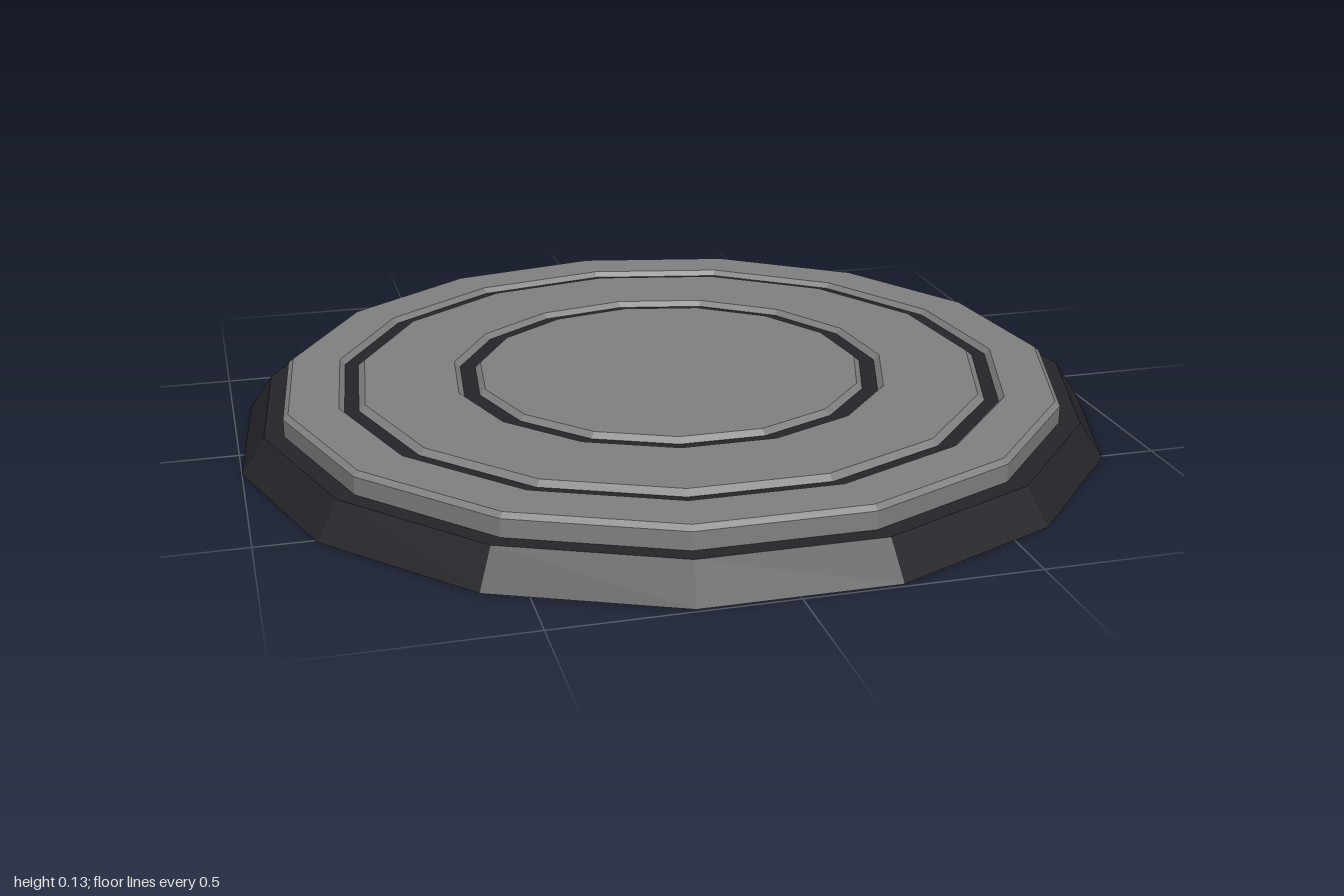
import * as THREE from 'three';

const SIDES = 15;
const grey = new THREE.MeshStandardMaterial({ color: 0x808080, flatShading: true });
const dark = new THREE.MeshStandardMaterial({ color: 0x25252a, flatShading: true });

// Faceted ring or disc turned from a [radius, height] profile, one corner towards the back
function turned(name, profile, material) {
  const points = profile.map(([r, y]) => new THREE.Vector2(r, y));
  const geometry = new THREE.LatheGeometry(points, SIDES);
  geometry.rotateY(Math.PI);
  const mesh = new THREE.Mesh(geometry, material);
  mesh.name = name;
  return mesh;
}

export function createModel() {
  const model = new THREE.Group();
  model.name = 'roundPlatform';

  // Sloping dark rim
  const rim = turned('baseRim', [[0.88, 0.002], [1.0055, 0.002], [0.952, 0.08], [0.88, 0.08]], dark);
  rim.position.z = 0.011;
  model.add(rim);

  // Raised grey plate, sitting slightly off the rim's centre
  const plate = new THREE.Group();
  plate.name = 'plate';
  plate.position.set(-0.004, 0, 0.02);
  model.add(plate);

  const top = 0.13, floor = 0.118;
  plate.add(
    turned('outerBand', [[0, 0], [0.904, 0], [0.904, 0.12], [0.892, top], [0.78, top], [0.768, floor]], grey),
    turned('outerGroove', [[0.768, floor], [0.736, floor]], dark),
    turned('middleBand', [[0.736, floor], [0.721, top], [0.507, top], [0.494, floor]], grey),
    turned('innerGroove', [[0.494, floor], [0.458, floor]], dark),
    turned('centreDisc', [[0.458, floor], [0.445, top], [0, top]], grey),
  );
  return model;
}
